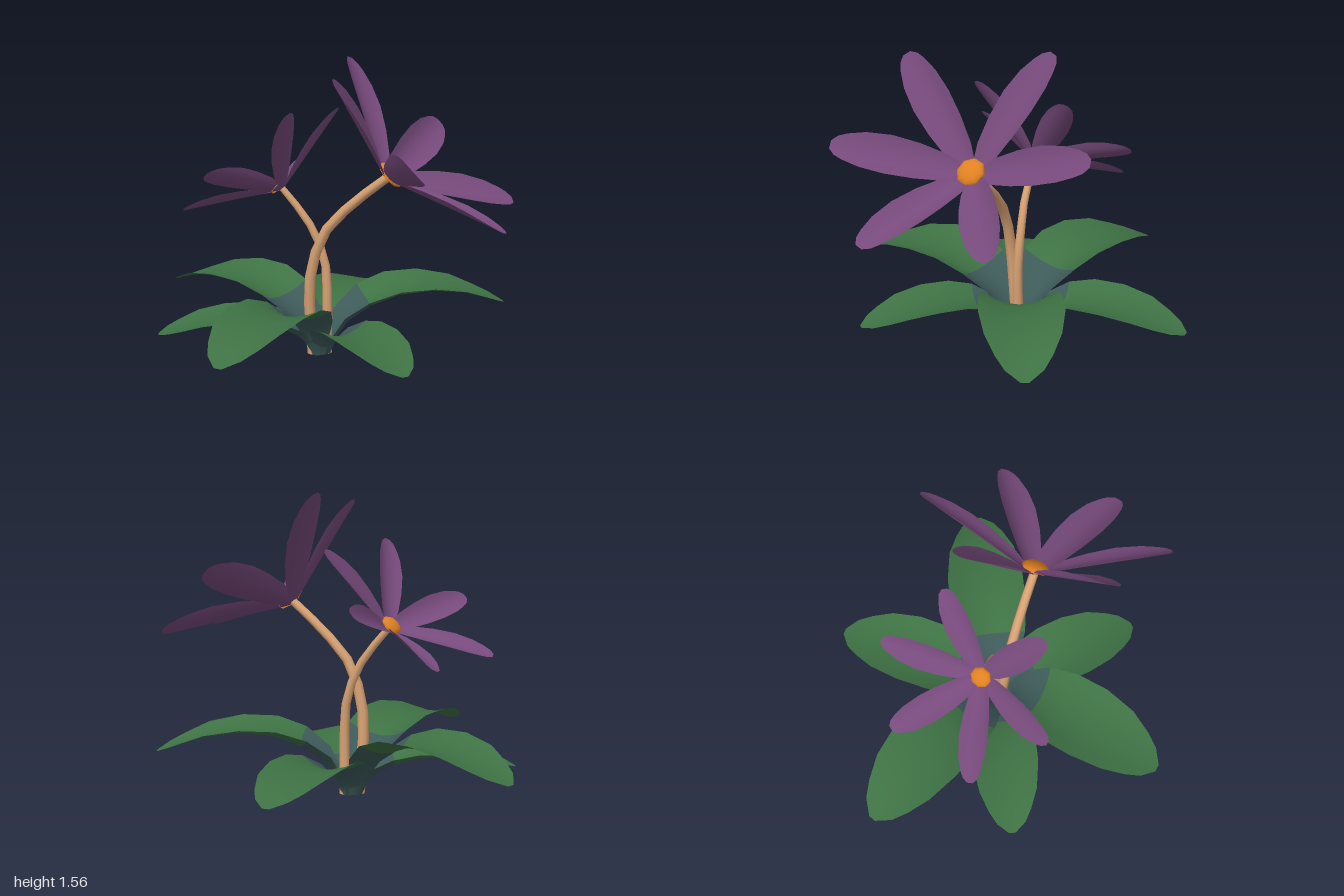
import * as THREE from 'three';

const mat = (name, color, side = THREE.DoubleSide) => {
  const m = new THREE.MeshStandardMaterial({ color, side });
  m.name = name;
  return m;
};
const V = (x, y, z) => new THREE.Vector3(x, y, z);

// Cupped strip: rows of { c: centre, n: normal, s: side, w: half width, k: curl }.
// Rows before "split" use material 0, the others material 1.
function ribbon(rows, split = 0) {
  const cols = 6, pos = [], idx = [];
  for (const { c, n, s, w, k } of rows) {
    for (let j = 0; j <= cols; j++) {
      const u = (j / cols) * 2 - 1;
      const p = c.clone().addScaledVector(s, u * w).addScaledVector(n, k * w * u * u);
      pos.push(p.x, p.y, p.z);
    }
  }
  for (let i = 0; i < rows.length - 1; i++) {
    for (let j = 0; j < cols; j++) {
      const a = i * (cols + 1) + j, b = a + cols + 1;
      idx.push(a, a + 1, b, a + 1, b + 1, b);
    }
  }
  const g = new THREE.BufferGeometry();
  g.setAttribute('position', new THREE.Float32BufferAttribute(pos, 3));
  g.setIndex(idx);
  g.computeVertexNormals();
  const cut = split * cols * 6;
  if (split) {
    g.addGroup(0, cut, 0);
    g.addGroup(cut, idx.length - cut, 1);
  }
  return g;
}

// Leaf profile: distance along, height fraction, half width, curl
const LEAF = [
  [0.055, 0, 0.05, 0.5], [0.09, 0.25, 0.08, 0.5], [0.15, 0.48, 0.13, 0.45],
  [0.265, 0.7, 0.185, 0.36], [0.40, 0.85, 0.208, 0.28], [0.57, 0.9, 0.21, 0.22],
  [0.74, 0.86, 0.183, 0.17], [0.86, 0.77, 0.135, 0.12], [0.94, 0.7, 0.09, 0.08],
  [1, 0.635, 0.02, 0],
];

function leafGeometry(base, tipX, tipZ, height) {
  const d = V(tipX - base.x, 0, tipZ - base.z);
  const len = d.length();
  d.normalize();
  const up = V(0, 1, 0), s = d.clone().cross(up);
  const rows = LEAF.map(([f, g, w, k], i) => {
    const a = LEAF[Math.max(i - 1, 0)], b = LEAF[Math.min(i + 1, LEAF.length - 1)];
    const dr = (b[0] - a[0]) * len, dy = (b[1] - a[1]) * height;
    const n = up.clone().multiplyScalar(dr).addScaledVector(d, -dy).normalize();
    const c = base.clone().addScaledVector(d, f * len).addScaledVector(up, g * height);
    return { c, n, s, w: w * len, k };
  });
  return ribbon(rows, 3);
}

// Petal profile: distance along, half width (for a petal of length 1), curl
const PETAL = [
  [0, 0.02, 0], [0.1, 0.066, 0.2], [0.2, 0.1, 0.3], [0.4, 0.132, 0.34],
  [0.6, 0.145, 0.34], [0.78, 0.13, 0.28], [0.9, 0.098, 0.2], [0.96, 0.072, 0.12],
  [1, 0.03, 0],
];

function petalGeometry(centre, tip, facing) {
  const d = tip.clone().sub(centre);
  const len = d.length();
  d.normalize();
  const n = facing.clone().addScaledVector(d, -facing.dot(d)).normalize();
  const s = d.clone().cross(n);
  return ribbon(PETAL.map(([f, w, k]) => (
    { c: centre.clone().addScaledVector(d, f * len), n, s, w: w * len, k })));
}

// Tube whose rings shrink towards the far end
function stemGeometry(points, r0, r1) {
  const curve = new THREE.CatmullRomCurve3(points.map(p => V(...p)));
  const segs = 8, sides = 8;
  const g = new THREE.TubeGeometry(curve, segs, r0, sides, false);
  const p = g.attributes.position, v = V(0, 0, 0);
  for (let i = 0; i < p.count; i++) {
    const t = Math.floor(i / (sides + 1)) / segs;
    const c = curve.getPointAt(t);
    v.fromBufferAttribute(p, i).sub(c).multiplyScalar(1 + (r1 / r0 - 1) * t).add(c);
    p.setXYZ(i, v.x, Math.max(v.y, 0), v.z);
  }
  return g;
}

export function createModel() {
  const group = new THREE.Group();
  const green = mat('leaf green', 0x3e7244);
  const teal = mat('leaf base teal', 0x3d5a59);
  const purple = mat('petal purple', 0x774a7c);
  const tan = mat('stem tan', 0xd8a273);
  const orange = mat('flower centre orange', 0xe08122);

  const add = (parent, name, geometry, material) => {
    const m = new THREE.Mesh(geometry, material);
    m.name = name;
    parent.add(m);
    return m;
  };

  // Rosette: three tall leaves alternating with three low ones
  const rosette = new THREE.Group();
  rosette.name = 'leafRosette';
  group.add(rosette);
  const base = V(-0.02, 0, -0.04);
  [
    ['frontLeaf', -0.16, 0.96, 0.37],
    ['backLeftLeaf', 0.86, -0.53, 0.37],
    ['backRightLeaf', -1.0, -0.36, 0.37],
    ['backLeaf', -0.06, -0.97, 0.25],
    ['frontLeftLeaf', 0.61, 0.54, 0.225],
    ['frontRightLeaf', -0.77, 0.36, 0.225],
  ].forEach(([name, x, z, h]) => add(rosette, name, leafGeometry(base, x, z, h), [teal, green]));

  // Two crossing stems
  add(group, 'tallStem', stemGeometry([[-0.05, 0, -0.02], [-0.06, 0.35, 0.015],
    [-0.035, 0.52, 0.02], [0.03, 0.68, 0.02], [0.17, 0.83, 0.015], [0.355, 0.98, 0.015]],
  0.033, 0.023), tan);
  add(group, 'shortStem', stemGeometry([[0.01, 0, -0.06], [0.015, 0.35, -0.055],
    [-0.005, 0.52, -0.06], [-0.08, 0.7, -0.045], [-0.225, 0.88, -0.03]], 0.031, 0.018), tan);

  // Flowers: six petals closing into a cup around a low dome
  const flower = (name, centre, facing, radius, tips) => {
    const f = new THREE.Group();
    f.name = name;
    group.add(f);
    facing.normalize();
    tips.forEach((t, i) => add(f, `petal${i + 1}`, petalGeometry(centre, V(...t), facing), purple));
    const dome = new THREE.SphereGeometry(radius, 8, 4, 0, Math.PI * 2, 0, Math.PI / 2);
    const disc = add(f, 'flowerCentre', dome, orange);
    disc.scale.y = 0.5;
    disc.quaternion.setFromUnitVectors(V(0, 1, 0), facing);
    disc.position.copy(centre).addScaledVector(facing, radius * 0.38);
  };
  flower('tallFlower', V(0.35, 0.975, 0.015), V(0.74, 0.67, 0.04), 0.077, [
    [0.46, 1.18, -0.65], [0.92, 0.83, -0.38], [1.0, 0.8, 0.25],
    [0.66, 1.13, 0.63], [0.22, 1.5, 0.46], [0.065, 1.55, -0.27]]);
  flower('shortFlower', V(-0.222, 0.875, -0.03), V(-0.72, 0.68, -0.1), 0.058, [
    [-0.28, 1.0, -0.55], [-0.01, 1.275, -0.31], [-0.085, 1.31, 0.24],
    [-0.46, 1.01, 0.41], [-0.73, 0.755, 0.11], [-0.62, 0.74, -0.37]]);

  return group;
}
